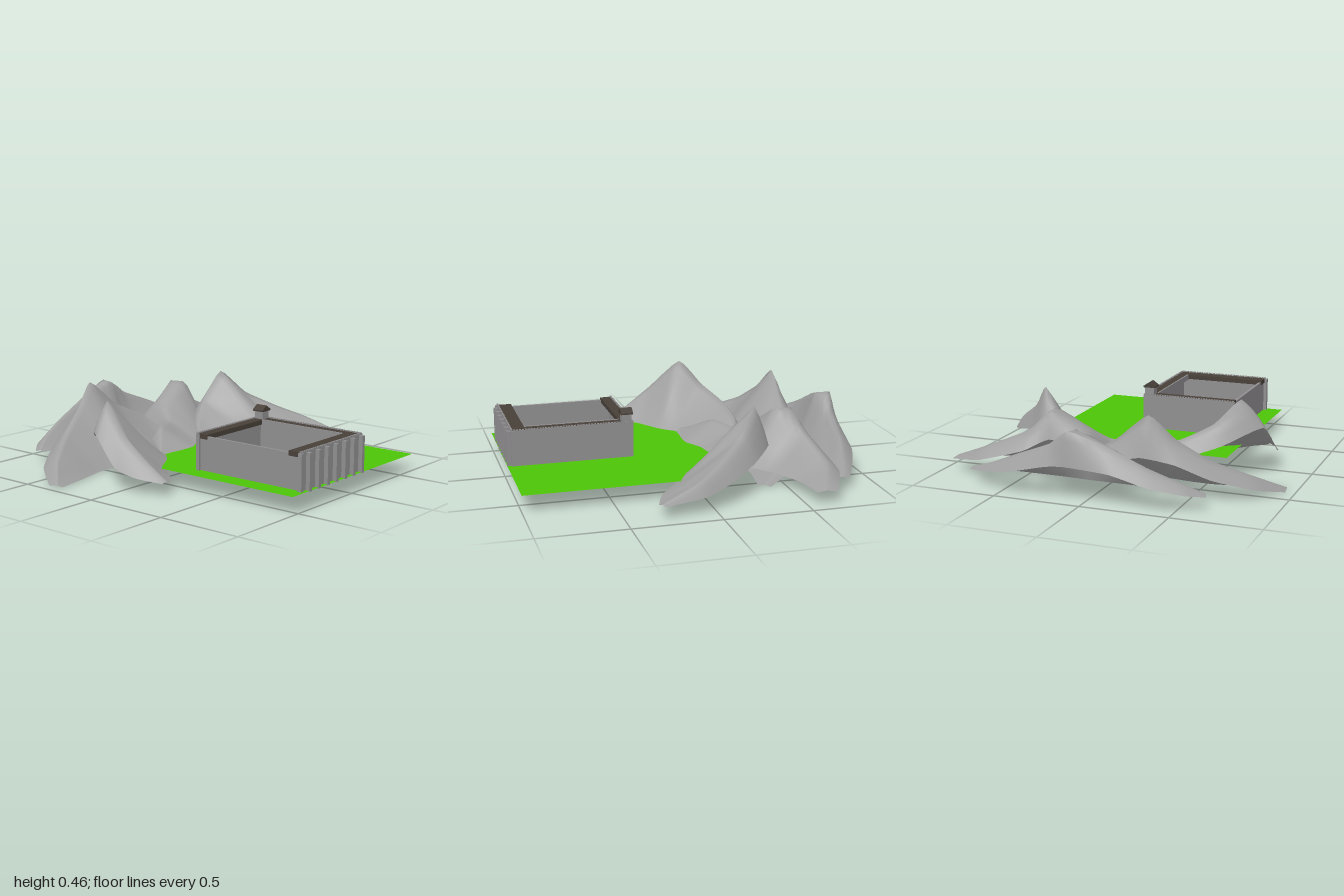
import * as THREE from 'three';

const mat = (name, color) => {
  const m = new THREE.MeshStandardMaterial({ color, side: THREE.DoubleSide });
  m.name = name;
  return m;
};

// One mountain range: a draped sheet lofted over stations running from -x to +x.
// Station: [frontX, frontZ, crestX, crestY, crestZ, backX, backY, backZ, shoulder]
// The optional shoulder is the share of the front slope that stays level with the crest.
function mountain(name, base, stations, material) {
  const curve = (f) => new THREE.CatmullRomCurve3(
    stations.map((s) => new THREE.Vector3(...f(s))), false, 'catmullrom', 0.25);
  const front = curve((s) => [s[0], base, s[1]]);
  const crest = curve((s) => [s[2], s[3], s[4]]);
  const back = curve((s) => [s[5], s[6], s[7]]);
  const shoulders = stations.map((s) => s[8] ?? 0);
  const NU = (stations.length - 1) * 4, NF = 10, NB = 3, row = NF + NB + 1;
  const pos = [], idx = [];
  for (let i = 0; i <= NU; i++) {
    const u = i / NU, f = front.getPoint(u), c = crest.getPoint(u), b = back.getPoint(u);
    const k = Math.floor(i / 4);
    const shoulder = THREE.MathUtils.lerp(shoulders[k], shoulders[k + 1] ?? 0, i / 4 - k);
    for (let j = 0; j < row; j++) {
      const p = new THREE.Vector3();
      if (j <= NF) {
        // Front slope with faint gullies
        const t = j / NF, h = c.y - base;
        p.lerpVectors(f, c, t);
        p.y = base + h * Math.pow(Math.min(1, t / (1 - shoulder)), 1.06);
        p.y += h * 0.015 * Math.sin(i * 0.9 + t * 4) * Math.sin(Math.PI * t);
      } else {
        // Back strip bulging outwards
        const t = (j - NF) / NB;
        p.lerpVectors(c, b, t);
        p.y += 0.1 * (c.y - b.y) * Math.sin(Math.PI * t);
      }
      pos.push(p.x, Math.max(p.y, base), p.z);
      if (i < NU && j < row - 1) {
        const a = i * row + j, n = a + row;
        idx.push(a, n, a + 1, n, n + 1, a + 1);
      }
    }
  }
  const g = new THREE.BufferGeometry();
  g.setAttribute('position', new THREE.Float32BufferAttribute(pos, 3));
  g.setIndex(idx);
  g.computeVertexNormals();
  const m = new THREE.Mesh(g, material);
  m.name = name;
  return m;
}

export function createModel() {
  const root = new THREE.Group();
  root.name = 'mountainFort';
  const rock = mat('rock grey', 0xa0a0a0);
  const stone = mat('wall stone', 0x918f91);
  const walk = mat('walkway brown', 0x484039);
  const grass = mat('grass green', 0x4dc408);

  // Box given by its min and max corners
  const box = (parent, name, material, x0, x1, y0, y1, z0, z1) => {
    const m = new THREE.Mesh(new THREE.BoxGeometry(x1 - x0, y1 - y0, z1 - z0), material);
    m.position.set((x0 + x1) / 2, (y0 + y1) / 2, (z0 + z1) / 2);
    m.name = name;
    parent.add(m);
  };

  // Lawn
  const lawn = new THREE.Mesh(new THREE.PlaneGeometry(1.18, 1.19).rotateX(-Math.PI / 2), grass);
  lawn.position.set(0.04, 0.1, 0.405);
  lawn.name = 'lawn';
  root.add(lawn);

  // Mountain ranges
  root.add(mountain('rearRange', 0.07, [
    [-0.62, -0.77, -0.63, 0.08, -0.79, -0.64, 0.07, -0.82],
    [-0.48, -0.76, -0.52, 0.14, -0.85, -0.55, 0.09, -0.9],
    [-0.3, -0.76, -0.34, 0.22, -0.9, -0.37, 0.13, -0.97],
    [-0.1, -0.76, -0.14, 0.31, -0.92, -0.17, 0.19, -1.0, 0.15],
    [0.04, -0.76, 0.08, 0.385, -0.955, 0.09, 0.2, -0.985, 0.45],
    [0.2, -0.75, 0.2, 0.3, -0.92, 0.2, 0.19, -0.985, 0.1],
    [0.42, -0.75, 0.42, 0.21, -0.88, 0.43, 0.13, -0.96],
    [0.6, -0.75, 0.6, 0.13, -0.83, 0.62, 0.09, -0.88],
    [0.72, -0.755, 0.74, 0.08, -0.78, 0.745, 0.07, -0.81],
  ], rock));
  root.add(mountain('middleRange', 0, [
    [-0.92, -0.3, -0.94, 0.01, -0.32, -0.945, 0, -0.38],
    [-0.72, -0.34, -0.8, 0.1, -0.47, -0.82, 0.05, -0.56],
    [-0.55, -0.38, -0.6, 0.2, -0.6, -0.62, 0.12, -0.69],
    [-0.42, -0.38, -0.42, 0.32, -0.67, -0.44, 0.2, -0.75],
    [-0.26, -0.36, -0.28, 0.45, -0.715, -0.25, 0.23, -0.78],
    [-0.08, -0.36, -0.08, 0.29, -0.7, -0.05, 0.18, -0.8],
    [0.1, -0.38, 0.15, 0.19, -0.68, 0.2, 0.12, -0.765],
    [0.32, -0.38, 0.38, 0.1, -0.57, 0.42, 0.06, -0.63],
    [0.53, -0.35, 0.57, 0.01, -0.38, 0.58, 0, -0.41],
  ], rock));
  root.add(mountain('innerRange', 0.07, [
    [-0.36, -0.04, -0.36, 0.09, -0.08, -0.35, 0.07, -0.11],
    [-0.19, -0.03, -0.24, 0.14, -0.18, -0.27, 0.1, -0.2],
    [-0.03, -0.04, -0.12, 0.21, -0.29, -0.16, 0.15, -0.32],
    [0.08, -0.08, 0.06, 0.2, -0.38, 0.04, 0.15, -0.42],
    [0.22, -0.13, 0.15, 0.29, -0.53, 0.1, 0.2, -0.62, 0.1],
    [0.38, -0.3, 0.34, 0.385, -0.61, 0.33, 0.24, -0.655, 0.35],
    [0.52, -0.42, 0.46, 0.28, -0.64, 0.46, 0.18, -0.73, 0.1],
    [0.72, -0.52, 0.72, 0.17, -0.68, 0.72, 0.11, -0.76],
    [0.92, -0.55, 0.93, 0.08, -0.6, 0.94, 0.07, -0.66],
  ], rock));
  root.add(mountain('leftFrontRange', 0.07, [
    [-0.65, 0.255, -0.68, 0.08, 0.26, -0.71, 0.07, 0.25],
    [-0.58, 0.2, -0.69, 0.17, 0.12, -0.77, 0.09, 0.11],
    [-0.49, 0.1, -0.69, 0.29, -0.04, -0.795, 0.13, -0.02],
    [-0.36, 0.02, -0.64, 0.455, -0.22, -0.765, 0.3, -0.2],
    [-0.28, -0.04, -0.52, 0.33, -0.33, -0.58, 0.22, -0.38],
    [-0.2, -0.1, -0.36, 0.25, -0.42, -0.41, 0.17, -0.48],
    [-0.08, -0.17, -0.18, 0.19, -0.44, -0.16, 0.12, -0.48],
    [0, -0.34, -0.06, 0.09, -0.4, -0.06, 0.07, -0.42],
  ], rock));
  root.add(mountain('rightFrontRange', 0.07, [
    [0.12, -0.16, 0.12, 0.1, -0.2, 0.12, 0.08, -0.25],
    [0.25, -0.09, 0.27, 0.21, -0.31, 0.25, 0.16, -0.36],
    [0.38, 0.02, 0.38, 0.3, -0.36, 0.36, 0.2, -0.43],
    [0.5, 0.1, 0.5, 0.455, -0.33, 0.5, 0.22, -0.42],
    [0.59, 0.16, 0.61, 0.32, -0.22, 0.66, 0.18, -0.29],
    [0.68, 0.23, 0.74, 0.23, -0.07, 0.79, 0.13, -0.13],
    [0.77, 0.28, 0.85, 0.16, 0.09, 0.89, 0.09, 0.06],
    [0.88, 0.32, 0.91, 0.08, 0.31, 0.92, 0.07, 0.29],
  ], rock));

  // Fort walls
  const fort = new THREE.Group();
  fort.name = 'fort';
  root.add(fort);
  const yb = 0.095, yt = 0.306, ym = 0.313;
  box(fort, 'backWall', stone, -0.45, 0.13, yb, yt, 0.27, 0.29);
  box(fort, 'frontWall', stone, -0.45, 0.13, yb, yt, 0.96, 0.975);
  box(fort, 'rightWall', stone, 0.11, 0.13, yb, yt, 0.28, 0.97);
  box(fort, 'leftWall', stone, -0.435, -0.42, 0.1, yt - 0.01, 0.28, 0.97);

  // Walkways behind the parapets with a low inner curb
  box(fort, 'backWalkway', walk, -0.44, 0.12, 0.28, 0.307, 0.28, 0.34);
  box(fort, 'frontWalkway', walk, -0.44, 0.12, 0.28, 0.307, 0.89, 0.965);
  box(fort, 'rightWalkway', walk, 0.062, 0.12, 0.28, 0.307, 0.34, 0.89);
  box(fort, 'innerCurb', stone, 0.055, 0.064, 0.275, 0.31, 0.34, 0.89);

  // Battlements
  for (let x = -0.446; x < 0.122; x += 0.0165) {
    box(fort, 'merlon', stone, x, x + 0.011, yt, ym, 0.27, 0.28);
    box(fort, 'merlon', stone, x, x + 0.011, yt, ym, 0.965, 0.975);
  }
  for (let z = 0.29; z < 0.96; z += 0.0165) {
    box(fort, 'merlon', stone, 0.12, 0.13, yt, ym, z, z + 0.011);
  }

  // Pilasters on the front wall
  for (let i = 0; i < 7; i++) {
    const x = -0.39 + i * 0.0825;
    box(fort, 'pilaster', stone, x - 0.011, x + 0.011, yb, 0.303, 0.97, 1.0);
  }
  box(fort, 'cornerPilaster', stone, -0.455, -0.435, yb, 0.303, 0.96, 0.985);

  // Corner watch house with a gabled roof
  box(fort, 'watchHouse', stone, 0.067, 0.125, 0.29, 0.357, 0.28, 0.335);
  const gable = new THREE.Shape([[0.057, 0.352], [0.133, 0.352], [0.133, 0.36], [0.095, 0.386], [0.057, 0.36]]
    .map((p) => new THREE.Vector2(...p)));
  const roof = new THREE.Mesh(new THREE.ExtrudeGeometry(gable, { depth: 0.07, bevelEnabled: false }), walk);
  roof.position.z = 0.272;
  roof.name = 'watchHouseRoof';
  fort.add(roof);

  return root;
}
